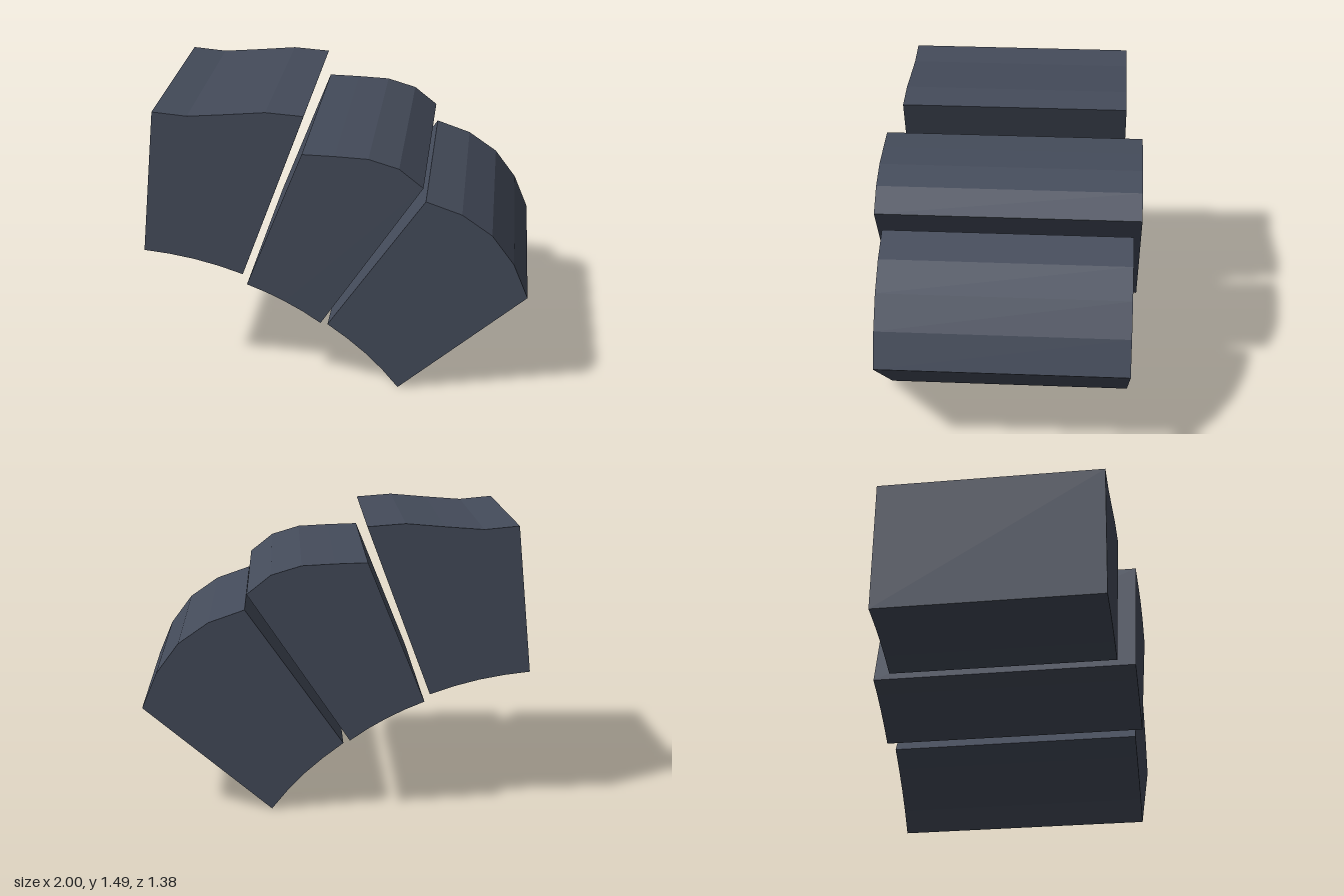
import * as THREE from 'three';

// Each arch stone: outline in the xy plane (inner curve, then outer edge) and its depth in z.
const STONES = [
  {
    name: 'upperArchStone', depth: 1.2,
    inner: [[-1, 0.71], [-0.87, 0.694], [-0.74, 0.67], [-0.61, 0.636], [-0.483, 0.593]],
    outer: [[-0.155, 1.47], [-0.35, 1.485], [-0.55, 1.468], [-0.75, 1.453], [-0.93, 1.47]],
  },
  {
    name: 'middleArchStone', depth: 1.385,
    inner: [[-0.447, 0.578], [-0.345, 0.536], [-0.25, 0.489], [-0.155, 0.435], [-0.065, 0.374]],
    outer: [[0.458, 1.142], [0.335, 1.24], [0.18, 1.287], [0.01, 1.296], [-0.155, 1.301]],
  },
  {
    name: 'lowerArchStone', depth: 1.305,
    inner: [[-0.033, 0.35], [0.07, 0.273], [0.167, 0.19], [0.255, 0.1], [0.338, 0]],
    outer: [[1, 0.545], [0.925, 0.727], [0.81, 0.882], [0.655, 0.99], [0.47, 1.055]],
  },
];

export function createModel() {
  const group = new THREE.Group();
  group.name = 'archSegment';
  const slate = new THREE.MeshStandardMaterial({ color: 0x444b5a });
  slate.name = 'slate stone';

  for (const { name, depth, inner, outer } of STONES) {
    const shape = new THREE.Shape([...inner, ...outer].map(([x, y]) => new THREE.Vector2(x, y)));
    // Extruded walls keep one flat normal per facet
    const geometry = new THREE.ExtrudeGeometry(shape, { depth, bevelEnabled: false });
    geometry.translate(0, 0, -depth / 2);
    const mesh = new THREE.Mesh(geometry, slate);
    mesh.name = name;
    group.add(mesh);
  }
  return group;
}
